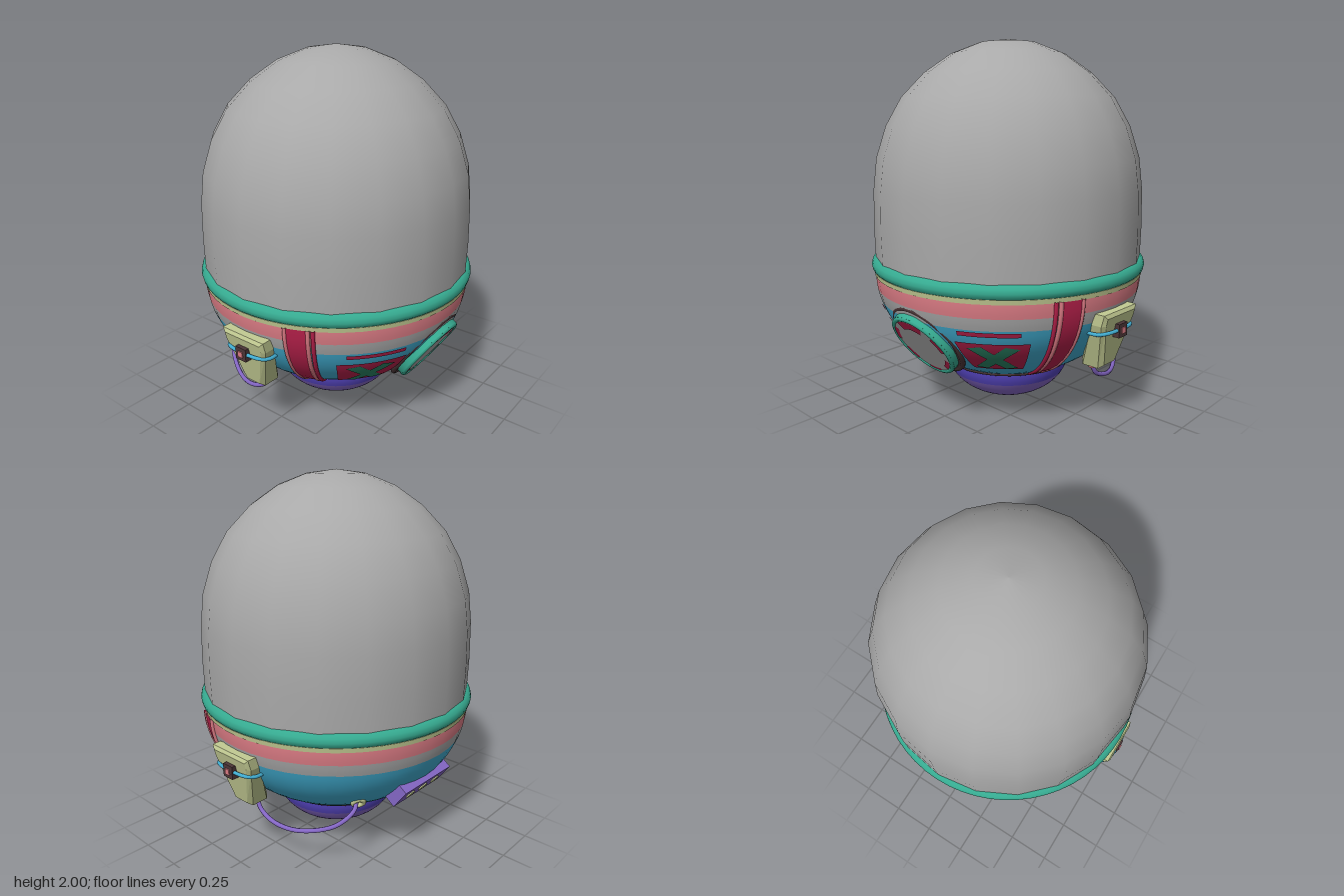
import * as THREE from 'three';

const material = (name, color) => Object.assign(new THREE.MeshStandardMaterial({ color }), { name });
const M = {
  grey: material('dome grey', 0xa9a9a9),
  blue: material('hull blue', 0x42aed2),
  pink: material('band pink', 0xdc7c85),
  teal: material('rim teal', 0x36aa90),
  khaki: material('pack khaki', 0xc3cb93),
  purple: material('cable purple', 0x8567c6),
  indigo: material('ball indigo', 0x5444bd),
  crimson: material('panel crimson', 0xb5204a),
  brown: material('trim brown', 0x4b3537),
  green: material('cross green', 0x2a8465),
};

const rad = THREE.MathUtils.degToRad;
const lerp = THREE.MathUtils.lerp;
const V = (x, y, z) => new THREE.Vector3(x, y, z);

// Radius of the bowl-shaped hull at a height
const hullRadius = (y) => 0.745 * Math.sqrt(1 - ((0.75 - y) / 0.588) ** 2);
const ballRadius = (y) => 0.35 * Math.sqrt(Math.max(0, 1 - ((0.235 - y) / 0.235) ** 2));

function add(parent, name, geometry, mat, x = 0, y = 0, z = 0) {
  const mesh = new THREE.Mesh(geometry, mat);
  mesh.name = name;
  mesh.position.set(x, y, z);
  parent.add(mesh);
  return mesh;
}

// Surface of revolution between two heights
function band(radiusAt, y0, y1, steps) {
  const pts = [];
  for (let i = 0; i <= steps; i++) {
    const y = lerp(y0, y1, i / steps);
    pts.push(new THREE.Vector2(radiusAt(y), y));
  }
  return new THREE.LatheGeometry(pts, 48);
}

// Thin plate lying on the hull; corners are [angle in degrees, height]:
// bottom left, bottom right, top right, top left
function hullPlate([bl, br, tr, tl], lift) {
  const g = new THREE.PlaneGeometry(1, 1, 8, 10);
  const p = g.attributes.position;
  for (let i = 0; i < p.count; i++) {
    const u = p.getX(i) + 0.5, v = p.getY(i) + 0.5;
    const a = rad(lerp(lerp(bl[0], br[0], u), lerp(tl[0], tr[0], u), v));
    const y = lerp(lerp(bl[1], br[1], u), lerp(tl[1], tr[1], u), v);
    const r = hullRadius(y) + lift;
    p.setXYZ(i, r * Math.sin(a), y - lift * 0.5, r * Math.cos(a));
  }
  g.computeVertexNormals();
  return g;
}

const tube = (pts, r, n = 32) =>
  new THREE.TubeGeometry(new THREE.CatmullRomCurve3(pts), n, r, 8);

// Tapered side pack with strap, clip and socket, built on the +x side
function sidePack() {
  const g = new THREE.Group();
  const shape = new THREE.Shape([
    [-0.06, 0.335], [0.06, 0.335], [0.14, 0.59], [0.14, 0.65], [-0.14, 0.65], [-0.14, 0.59],
  ].map(([x, y]) => new THREE.Vector2(x, y)));
  const geo = new THREE.ExtrudeGeometry(shape, {
    depth: 0.08, bevelEnabled: true, bevelSize: 0.02, bevelThickness: 0.02, bevelOffset: -0.02, bevelSegments: 1,
  }).rotateY(Math.PI / 2);
  const p = geo.attributes.position;
  for (let i = 0; i < p.count; i++) {
    const h = p.getY(i) - 0.335;
    p.setX(i, lerp(0.57 + h * 0.44, 0.71 + h * 0.24, (p.getX(i) + 0.02) / 0.12));
  }
  geo.computeVertexNormals();
  add(g, 'packBody', geo, M.khaki);
  add(g, 'packStrap', tube([V(0.64, 0.54, 0.13), V(0.73, 0.545, 0.135), V(0.767, 0.55, 0.1),
    V(0.767, 0.55, -0.1), V(0.73, 0.545, -0.135), V(0.64, 0.54, -0.13)], 0.01), M.blue);
  add(g, 'packClip', new THREE.BoxGeometry(0.04, 0.07, 0.07), M.brown, 0.772, 0.55, 0);
  add(g, 'clipButton', new THREE.BoxGeometry(0.008, 0.03, 0.03), M.pink, 0.794, 0.55, 0);
  add(g, 'cableSocket', new THREE.CylinderGeometry(0.025, 0.02, 0.03, 12), M.pink, 0.61, 0.322, 0);
  return g;
}

export function createModel() {
  const root = new THREE.Group();
  root.name = 'domedCapsule';

  // Tall dome
  const dome = [[0.74, 0.79], [0.745, 1.0], [0.74, 1.2], [0.72, 1.37], [0.665, 1.54], [0.58, 1.69],
    [0.455, 1.82], [0.31, 1.92], [0.155, 1.98], [0, 2]].map(([r, y]) => new THREE.Vector2(r, y));
  add(root, 'dome', new THREE.LatheGeometry(dome, 20), M.grey);

  // Rim between dome and hull
  const rim = add(root, 'rim', new THREE.TorusGeometry(0.722, 0.042, 12, 60).rotateX(Math.PI / 2), M.teal, 0, 0.793, 0);
  rim.scale.y = 1;
  add(root, 'rimSeal', new THREE.CylinderGeometry(0.752, 0.748, 0.025, 60), M.khaki, 0, 0.751, 0);

  // Painted hull
  add(root, 'hullPinkBand', band(hullRadius, 0.665, 0.75, 4), M.pink);
  add(root, 'hullGreyBand', band(hullRadius, 0.6, 0.665, 3), M.grey);
  add(root, 'hull', band(hullRadius, 0.235, 0.6, 14), M.blue);

  // Ball under the hull
  add(root, 'collar', new THREE.TorusGeometry(0.358, 0.014, 8, 48).rotateX(Math.PI / 2), M.brown, 0, 0.237, 0);
  add(root, 'ballTop', band(ballRadius, 0.155, 0.235, 4), M.indigo);
  const tip = [];
  for (let i = 0; i <= 12; i++) {
    const a = Math.asin(0.08 / 0.235) + (1 - i / 12) * (Math.PI / 2 - Math.asin(0.08 / 0.235));
    tip.push(new THREE.Vector2(Math.max(0, 0.35 * Math.cos(a)), 0.235 - 0.235 * Math.sin(a)));
  }
  add(root, 'ballBottom', new THREE.LatheGeometry(tip, 48), M.purple);

  // Round window, tilted down
  const porthole = new THREE.Group();
  porthole.name = 'porthole';
  porthole.position.set(0, 0.47, 0.59);
  porthole.rotation.x = rad(33);
  root.add(porthole);
  const disc = (r, z0, z1) => new THREE.CylinderGeometry(r, r, z1 - z0, 40).rotateX(Math.PI / 2).translate(0, 0, (z0 + z1) / 2);
  add(porthole, 'portholeFrame', disc(0.222, -0.1, 0.025), M.brown);
  add(porthole, 'portholeFrameEdge', new THREE.TorusGeometry(0.22, 0.016, 8, 48), M.brown, 0, 0, 0.012);
  add(porthole, 'portholeRing', disc(0.203, 0, 0.058), M.teal);
  add(porthole, 'portholeLip', new THREE.TorusGeometry(0.189, 0.014, 8, 48), M.teal, 0, 0, 0.056);
  add(porthole, 'glass', disc(0.18, 0.02, 0.063), M.grey);
  for (const [mid, span, inner] of [[90, 62, 0.125], [20, 34, 0.15], [160, 34, 0.15], [215, 30, 0.15], [325, 30, 0.15], [270, 30, 0.163]]) {
    add(porthole, 'glassMark', new THREE.RingGeometry(inner, 0.178, 12, 1, rad(mid - span / 2), rad(span)), M.crimson, 0, 0, 0.066);
  }

  for (const s of [1, -1]) {
    // Plates are described on the +x side; mirroring swaps left and right corners
    const plate = (name, [bl, br, tr, tl], lift, mat) => {
      const f = ([a, y]) => [a * s, y];
      add(root, name, hullPlate((s > 0 ? [bl, br, tr, tl] : [br, bl, tl, tr]).map(f), lift), mat);
    };
    // Front panel with a cross and a bar above
    plate('frontPanel', [[25, 0.345], [51, 0.345], [52, 0.53], [21, 0.53]], 0.005, M.crimson);
    plate('panelBar', [[23, 0.57], [48, 0.57], [48, 0.595], [23, 0.595]], 0.005, M.crimson);
    plate('panelCross', [[27, 0.365], [33, 0.355], [48, 0.5], [42, 0.515]], 0.008, M.green);
    plate('panelCross', [[42, 0.355], [48, 0.365], [32, 0.515], [26, 0.5]], 0.009, M.green);

    // Vertical strap with raised edges
    plate('hullStrap', [[63, 0.24], [71, 0.24], [71, 0.745], [63, 0.745]], 0.007, M.crimson);
    for (const [deg, mat] of [[60.5, M.crimson], [62.5, M.pink], [71.5, M.pink]]) {
      const pts = [];
      for (let i = 0; i <= 8; i++) {
        const y = lerp(0.243, 0.745, i / 8), r = hullRadius(y) + 0.003;
        pts.push(V(s * r * Math.sin(rad(deg)), y, r * Math.cos(rad(deg))));
      }
      add(root, 'strapEdge', tube(pts, 0.011), mat);
    }

    // Side pack and its cable
    const pack = sidePack();
    pack.name = s > 0 ? 'leftPack' : 'rightPack';
    pack.rotation.y = s > 0 ? 0 : Math.PI;
    pack.position.z = 0.013;
    root.add(pack);
    add(root, 'cable', tube([V(s * 0.61, 0.32, 0.013), V(s * 0.61, 0.265, -0.02), V(s * 0.605, 0.225, -0.12),
      V(s * 0.56, 0.213, -0.25), V(s * 0.46, 0.26, -0.41), V(s * 0.38, 0.335, -0.47), V(s * 0.31, 0.37, -0.43)], 0.012, 48), M.purple);
    const port = add(root, 'cablePort', new THREE.TorusGeometry(0.028, 0.014, 8, 20), M.khaki, s * 0.325, 0.358, -0.455);
    port.lookAt(s * 0.65, 0.03, -0.91);
  }

  // Rear box with three lights
  const box = new THREE.Group();
  box.name = 'rearBox';
  box.position.set(0, 0.41, -0.59);
  box.rotation.set(rad(-36), Math.PI, 0);
  root.add(box);
  add(box, 'rearBoxBody', new THREE.BoxGeometry(0.4, 0.13, 0.09), M.purple);
  for (const x of [-0.11, 0, 0.11]) {
    add(box, 'rearLight', new THREE.CylinderGeometry(0.03, 0.03, 0.008, 6).rotateX(Math.PI / 2), M.khaki, x, 0, 0.047);
  }
  return root;
}
